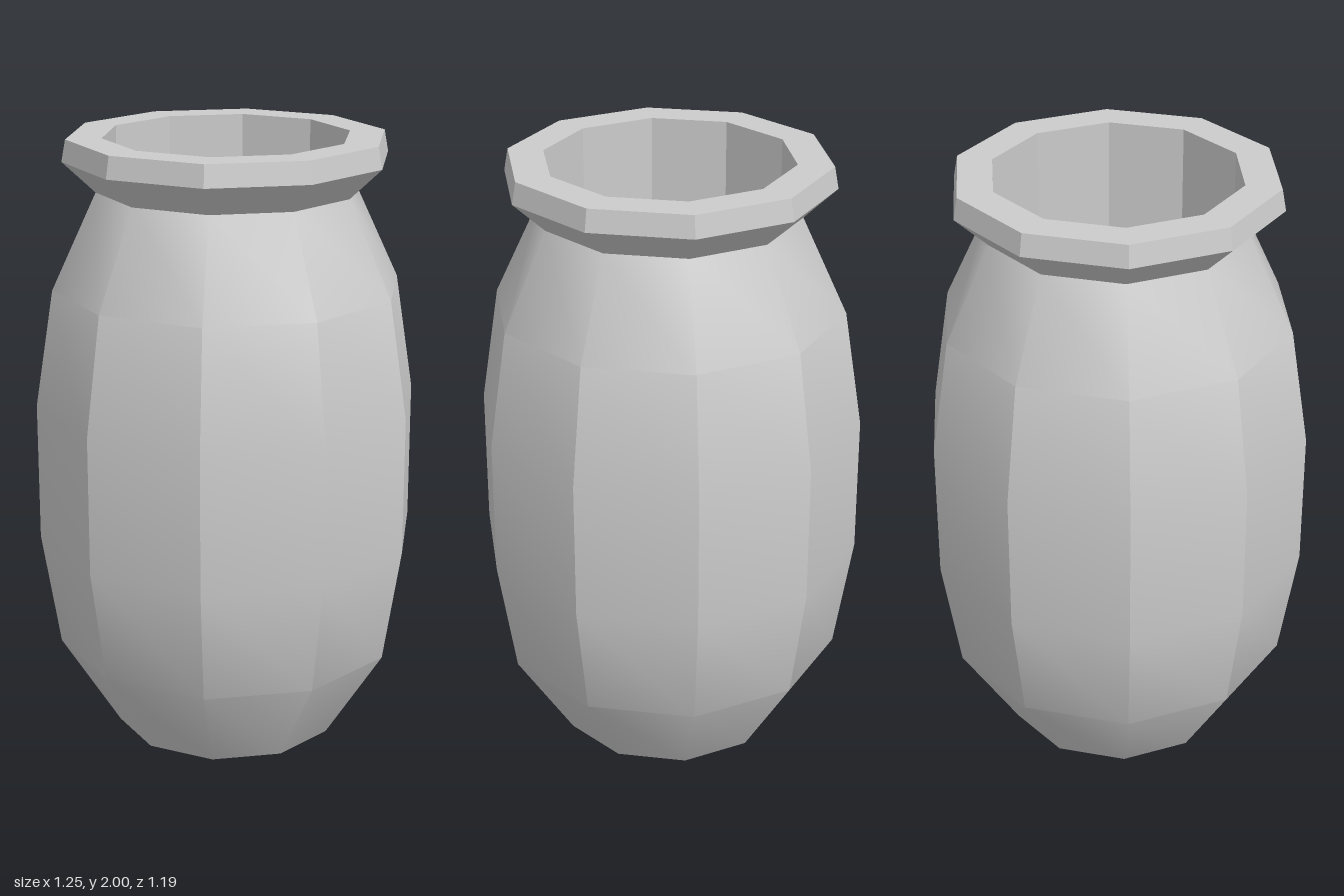
import * as THREE from 'three';
import { toCreasedNormals } from 'three/addons/utils/BufferGeometryUtils.js';

const SIDES = 10;
const CREASE = THREE.MathUtils.degToRad(35);

// Ten-sided turned part with corners on the x axis; profile is [radius, height]
function turned(name, profile, material) {
  const points = profile.map(([r, y]) => new THREE.Vector2(r, y));
  const lathe = new THREE.LatheGeometry(points, SIDES, Math.PI / 2);
  const mesh = new THREE.Mesh(toCreasedNormals(lathe, CREASE), material);
  mesh.name = name;
  return mesh;
}

export function createModel() {
  const model = new THREE.Group();
  model.name = 'vase';
  const material = new THREE.MeshStandardMaterial({ color: 0xcccccc });

  // Closed base and bulging wall up to the neck
  model.add(turned('body', [
    [0, 0], [0.37, 0], [0.565, 0.31], [0.625, 0.69],
    [0.625, 1.14], [0.565, 1.52], [0.42, 1.83],
  ], material));

  // Flared collar with a flat top
  model.add(turned('rim', [
    [0.42, 1.83], [0.525, 1.93], [0.512, 2], [0.398, 2],
  ], material));

  // Straight-walled hollow with a flat floor
  model.add(turned('interior', [[0.398, 2], [0.398, 0.1], [0, 0.1]], material));

  return model;
}
